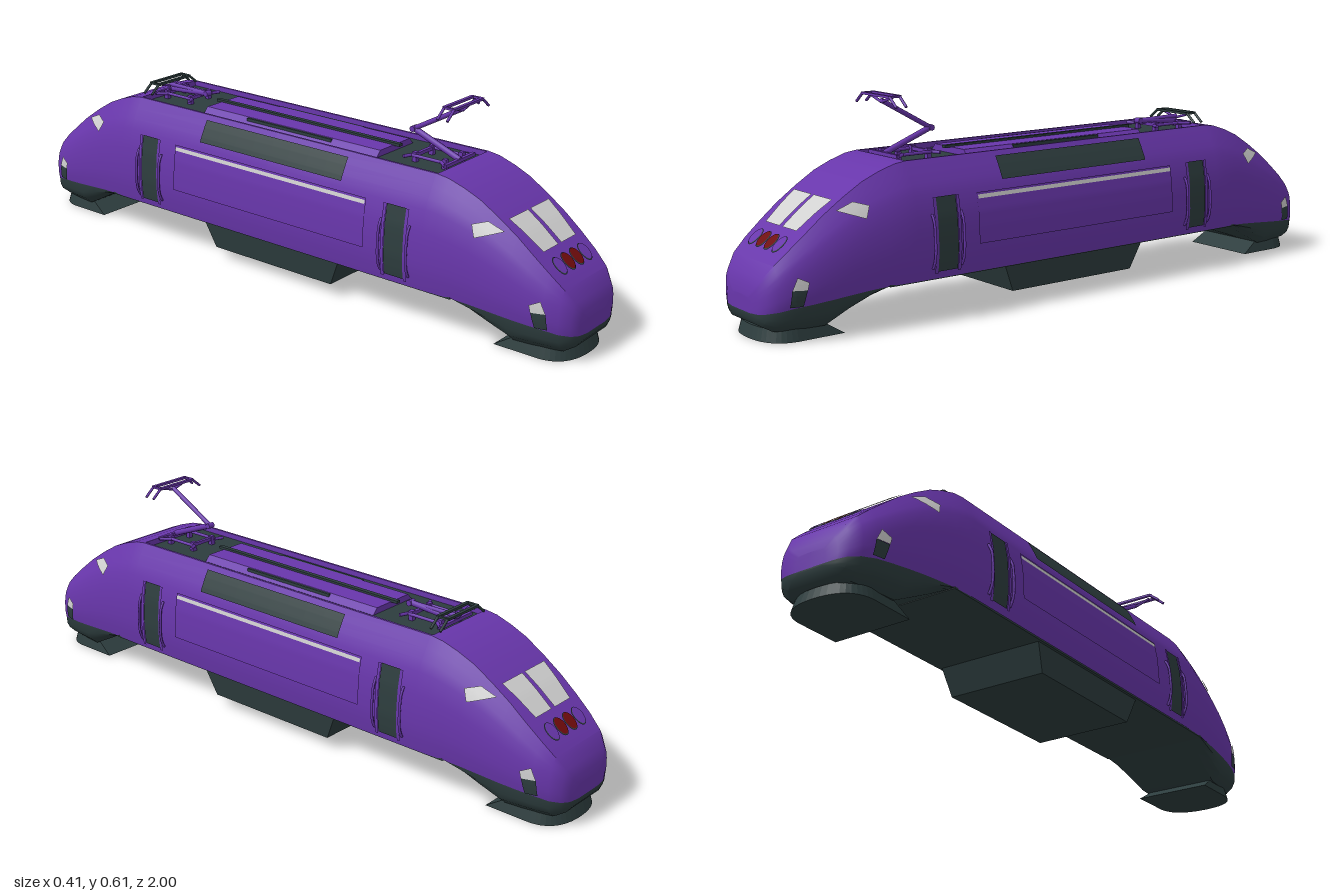
import * as THREE from 'three';
import { toCreasedNormals } from 'three/addons/utils/BufferGeometryUtils.js';

const mat = (name, color) => new THREE.MeshStandardMaterial({ name, color, side: THREE.DoubleSide });

// Hull stations: z, roof height, half width, roof half width, lower edge height
const STATIONS = [
  [0, .443, .188, .125, .12], [.56, .443, .188, .125, .12], [.562, .443, .188, .125, .12],
  [.6, .438, .187, .125, .12], [.65, .422, .184, .124, .12], [.7, .401, .179, .123, .117],
  [.76, .365, .174, .122, .112], [.82, .324, .167, .121, .106], [.87, .284, .159, .12, .101],
  [.92, .243, .148, .116, .096], [.96, .207, .134, .108, .089], [.985, .174, .112, .092, .084],
  [.996, .146, .085, .068, .08], [1, .122, .05, .04, .078],
];
// Side profile: height fraction, outward fraction
const PROFILE = [[0, .85], [.12, .95], [.25, 1], [.4, .97], [.53, .92], [.72, .74], [.81, .54], [.9, .3], [1, 0]];
const DECK = .423;

function station(z) {
  const a = Math.min(Math.abs(z), 1);
  let i = 1;
  while (STATIONS[i][0] < a) i++;
  const p = STATIONS[i - 1], q = STATIONS[i], t = (a - p[0]) / (q[0] - p[0]);
  return p.map((v, k) => v + (q[k] - v) * t);
}
const sidePoints = z => {
  const [, top, w, rw, low] = station(z);
  return PROFILE.map(([h, f]) => [rw + (w - rw) * f, low + (top - low) * h]);
};
function sideX(z, y) {
  const p = sidePoints(z);
  let i = 1;
  while (i < p.length - 1 && p[i][1] < y) i++;
  const t = (y - p[i - 1][1]) / (p[i][1] - p[i - 1][1]);
  return p[i - 1][0] + (p[i][0] - p[i - 1][0]) * t;
}

// Surface through rows of points
function grid(rows, crease = .6) {
  const n = rows[0].length, index = [];
  for (let r = 0; r < rows.length - 1; r++) for (let i = 0; i < n - 1; i++) {
    const a = r * n + i;
    index.push(a, a + 1, a + n, a + 1, a + n + 1, a + n);
  }
  const g = new THREE.BufferGeometry();
  g.setAttribute('position', new THREE.Float32BufferAttribute(rows.flat(2), 3));
  g.setIndex(index);
  return toCreasedNormals(g, crease);
}
// Four-cornered patch, each point placed by a projection
function patch([a, b, c, d], project, nu = 8, nv = 8) {
  const mix = (p, q, t) => [p[0] + (q[0] - p[0]) * t, p[1] + (q[1] - p[1]) * t];
  const rows = [];
  for (let i = 0; i <= nu; i++) {
    const p = mix(a, b, i / nu), q = mix(d, c, i / nu), row = [];
    for (let j = 0; j <= nv; j++) row.push(project(...mix(p, q, j / nv)));
    rows.push(row);
  }
  return grid(rows);
}

export function createModel() {
  const model = new THREE.Group();
  const purple = mat('purple paint', 0x6836ab), dark = mat('dark slate', 0x2d3d3e);
  const pale = mat('pale glass', 0xd0d0d0), red = mat('deep red', 0x6e0a0c);

  const add = (parent, name, geo, m, x = 0, y = 0, z = 0) => {
    const mesh = new THREE.Mesh(geo, m);
    mesh.name = name;
    mesh.position.set(x, y, z);
    parent.add(mesh);
    return mesh;
  };
  const box = (parent, name, m, w, h, d, x, y, z) => add(parent, name, new THREE.BoxGeometry(w, h, d), m, x, y, z);
  const rod = (parent, name, m, a, b, r) => {
    const p = new THREE.Vector3(...a), q = new THREE.Vector3(...b), dir = q.clone().sub(p);
    const mesh = add(parent, name, new THREE.CylinderGeometry(r, r, dir.length(), 8), m);
    mesh.position.copy(p.add(q).multiplyScalar(.5));
    mesh.quaternion.setFromUnitVectors(new THREE.Vector3(0, 1, 0), dir.normalize());
  };

  // Body shell with a sunken roof well
  const zs = STATIONS.map(s => s[0]);
  const rows = [...zs.slice(1).reverse().map(z => -z), ...zs].map(z => {
    const [, top, , rw] = station(z), inner = Math.min(.118, rw - .002);
    const half = [...sidePoints(z), [inner, top], [inner, Math.abs(z) < .561 ? DECK : top]];
    const left = half.map(([x, y]) => [x, y, z]);
    return [...left, ...left.map(([x, y]) => [-x, y, z]).reverse()];
  });
  const flat = row => row.map(([, y, z]) => [0, y, z]);
  add(model, 'bodyShell', grid([flat(rows[0]), ...rows, flat(rows.at(-1))]), purple);
  box(model, 'roofDeck', dark, .236, .006, 1.118, 0, DECK + .001, 0);
  box(model, 'underframe', dark, .352, .006, 1.3, 0, .12, 0);

  // Long roof hatch with vents and cable
  const hatch = new THREE.Shape([[-.09, 0], [.09, 0], [.07, .022], [-.07, .022]].map(p => new THREE.Vector2(...p)));
  add(model, 'roofHatch', new THREE.ExtrudeGeometry(hatch, { depth: .66, bevelEnabled: false }), purple, 0, DECK, -.33);
  box(model, 'roofCable', dark, .014, .008, .7, 0, .447, 0);
  for (const s of [1, -1]) box(model, 'hatchVent', dark, .01, .014, .32, s * .074, .437, 0);

  // Equipment tank below the floor
  const tank = new THREE.BoxGeometry(.336, .083, .52);
  const tp = tank.attributes.position;
  for (let i = 0; i < tp.count; i++) if (tp.getY(i) < 0) tp.setXYZ(i, tp.getX(i) * .93, tp.getY(i), tp.getZ(i) * .86);
  tank.computeVertexNormals();
  add(model, 'equipmentTank', tank, dark, 0, .0785, 0);

  // Side panels, stripe, vents and doors
  for (const s of [1, -1]) {
    const onSide = off => (z, y) => [s * (sideX(z, y) + off), y, z];
    const plate = (name, m, z0, z1, y0, y1, off) =>
      add(model, name, patch([[z0, y0], [z1, y0], [z1, y1], [z0, y1]], onSide(off), 8, 16), m);
    plate('sidePanel', purple, -.365, .365, .2, .342, .004);
    plate('sideStripe', pale, -.362, .362, .325, .336, .006);
    plate('sideVent', dark, -.27, .27, .368, .43, .005);
    for (const e of [1, -1]) {
      plate('door', dark, e * .437, e * .503, .14, .345, .005);
      for (const z of [.432, .508]) plate('doorFrame', purple, e * (z - .005), e * (z + .005), .135, .345, .007);
      for (const z of [.422, .518]) {
        const path = [[.15, .003], [.17, .01], [.2, .012], [.25, .012], [.28, .01], [.3, .002]]
          .map(([y, o]) => new THREE.Vector3(s * (sideX(.47, y) + o), y, e * z));
        add(model, 'handrail', new THREE.TubeGeometry(new THREE.CatmullRomCurve3(path), 12, .004, 6), purple);
      }
    }
  }

  // One nose, used at both ends
  const nose = new THREE.Group();
  nose.name = 'frontNose';
  const bottom = [[.65, .119], [.7, .093], [.76, .061], [.82, .03], [.87, .03], [.92, .03], [.96, .031], [.985, .045], [.996, .06], [1, .074]];
  const skirt = bottom.map(([z, yb]) => {
    const [x, y] = sidePoints(z)[0], h = y - yb;
    const half = [[x, y], [x * .985, y - h * .4], [x * .92, y - h * .7], [x * .75, yb]].map(([px, py]) => [px, py, z]);
    return [...half.map(([px, py]) => [-px, py, z]), ...half.reverse()];
  });
  add(nose, 'noseSkirt', grid([...skirt, flat(skirt.at(-1))]), dark);

  // Plough, flared towards the rail
  const plan = new THREE.Shape();
  plan.moveTo(-.122, .76);
  plan.lineTo(.122, .76);
  plan.lineTo(.122, .9);
  plan.quadraticCurveTo(.115, .985, 0, .985);
  plan.quadraticCurveTo(-.115, .985, -.122, .9);
  const plough = new THREE.ExtrudeGeometry(plan, { depth: .035, bevelEnabled: false, curveSegments: 10 });
  plough.rotateX(Math.PI / 2);
  const pp = plough.attributes.position;
  for (let i = 0; i < pp.count; i++) {
    const up = pp.getY(i) > -.01;
    pp.setXYZ(i, pp.getX(i) * (up ? .93 : 1), pp.getY(i) + .035, up ? .9 + (pp.getZ(i) - .9) * (pp.getZ(i) < .9 ? .6 : .88) : pp.getZ(i));
  }
  plough.computeVertexNormals();
  add(nose, 'plough', plough, dark);

  // Windscreens, cab windows and marker lights
  const onTop = off => (x, z) => [x, station(z)[1] + off, z + off * .5];
  for (const s of [1, -1]) {
    const onSide = off => (z, y) => [s * (sideX(z, y) + off), y, z];
    add(nose, 'windscreen', patch([[s * .006, .775], [s * .099, .775], [s * .082, .874], [s * .008, .874]], onTop(.004)), pale);
    add(nose, 'cabWindow', patch([[.787, .335], [.74, .355], [.7, .343], [.715, .31]].map(([z, y]) => [z, y]), onSide(.005)), pale);
    add(nose, 'markerLight', patch([[.93, .145], [.915, .178], [.885, .163], [.89, .143]], onSide(.005)), pale);
    add(nose, 'markerHousing', patch([[.935, .1], [.93, .145], [.89, .143], [.9, .1]], onSide(.004)), dark);
  }
  // Lamp row lying on the sloped nose
  const disc = (x, r, off) => {
    const g = new THREE.CircleGeometry(r, 24).rotateX(-Math.PI / 2), p = g.attributes.position;
    for (let i = 0; i < p.count; i++) p.setXYZ(i, ...onTop(off)(x + p.getX(i), .914 + p.getZ(i) * 1.05));
    g.computeVertexNormals();
    return g;
  };
  for (const x of [-.064, -.0215, .0215, .064]) {
    add(nose, 'lampRim', disc(x, .0205, .004), dark);
    add(nose, 'lamp', disc(x, .0185, .006), Math.abs(x) < .03 ? red : purple);
  }
  const tail = nose.clone();
  tail.name = 'rearNose';
  tail.rotation.y = Math.PI;
  model.add(nose, tail);

  // Pantographs: raised at the front, folded at the rear
  const pantograph = (name, elbowY, headY, headMat) => {
    const g = new THREE.Group();
    g.name = name;
    for (const s of [1, -1]) {
      rod(g, 'baseRail', purple, [s * .045, .445, .42], [s * .045, .445, .52], .005);
      rod(g, 'baseArm', purple, [s * .045, .445, .52], [s * .07, .445, .55], .005);
      rod(g, 'baseFoot', purple, [s * .045, .445, .42], [s * .07, .445, .41], .005);
      for (const z of [.43, .53]) box(g, 'insulator', purple, .014, .032, .014, s * .04, .439, z);
      rod(g, 'headBrace', headMat === dark ? purple : headMat, [0, headY - .02, .555], [s * .055, headY - .004, .555], .004);
      for (const z of [.54, .572]) rod(g, 'headHorn', headMat, [s * .068, headY, z], [s * .1, headY - .026, z], .004);
      box(g, 'headLink', headMat, .008, .006, .036, s * .068, headY, .556);
    }
    for (const z of [.43, .55]) box(g, 'baseCrossbar', purple, z > .5 ? .14 : .09, .01, .01, 0, .446, z);
    rod(g, 'lowerArm', purple, [0, .447, .55], [0, elbowY, .395], .009);
    rod(g, 'upperArm', purple, [0, elbowY, .395], [0, headY - .015, .556], .007);
    rod(g, 'elbow', purple, [-.011, elbowY, .395], [.011, elbowY, .395], .009);
    for (const z of [.54, .572]) box(g, 'contactStrip', headMat, .138, .007, .01, 0, headY, z);
    model.add(g);
    return g;
  };
  pantograph('raisedPantograph', .506, .61, purple);
  pantograph('foldedPantograph', .458, .475, dark).rotation.y = Math.PI;

  return model;
}
